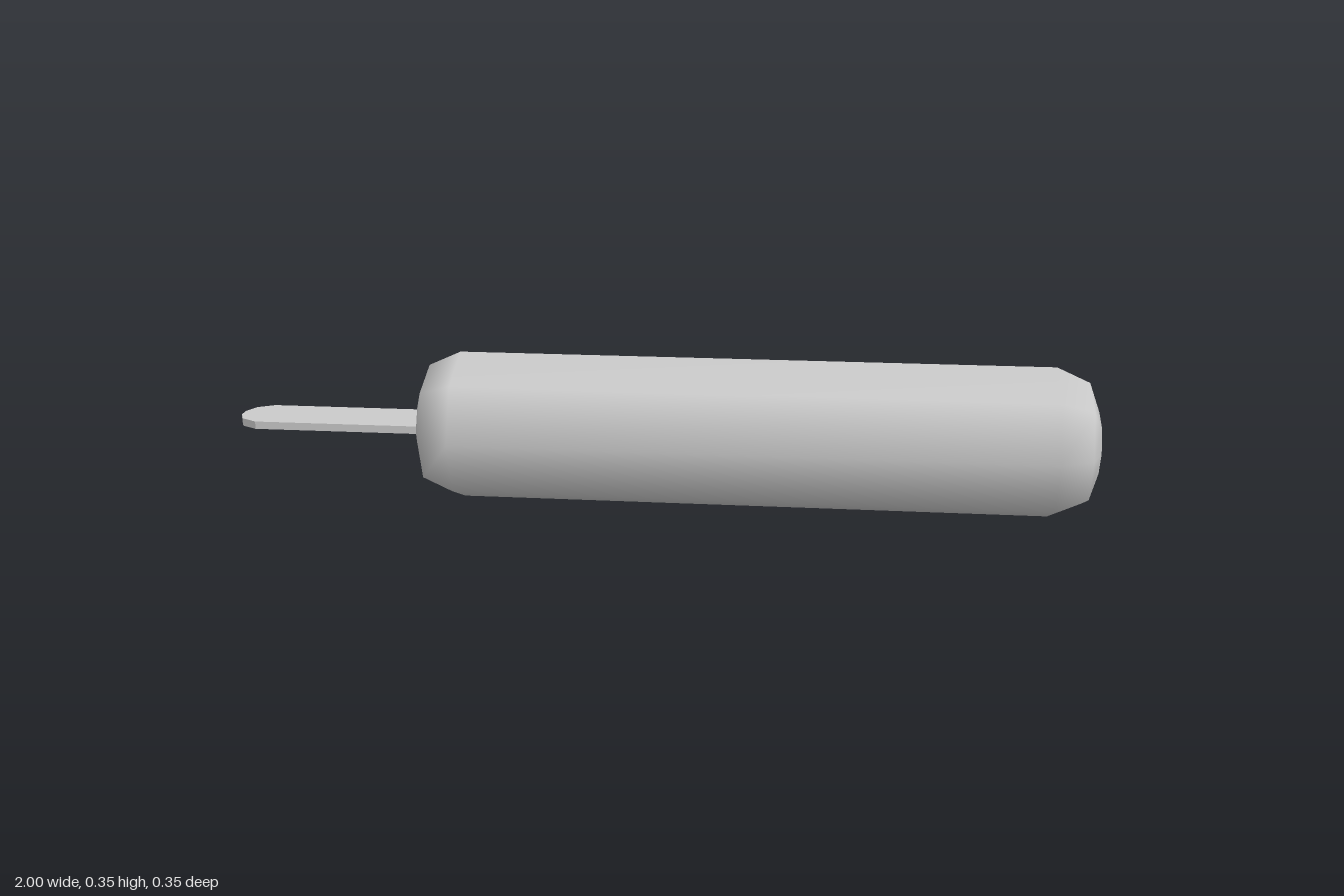
import * as THREE from 'three';

const AXIS_Y = 0.178;

export function createModel() {
  const group = new THREE.Group();
  const material = new THREE.MeshStandardMaterial({ color: 0xcccccc });

  // Eight-sided smooth body with chamfered ends, turned to lie along x
  const profile = [
    [0, -0.56], [0.075, -0.56], [0.143, -0.54], [0.177, -0.465],
    [0.177, 0.9], [0.143, 0.975], [0.075, 1], [0, 1],
  ].map(([r, x]) => new THREE.Vector2(r, x));
  const bodyGeometry = new THREE.LatheGeometry(profile, 8);
  bodyGeometry.rotateZ(-Math.PI / 2);
  const body = new THREE.Mesh(bodyGeometry, material);
  body.name = 'iceBody';
  body.position.y = AXIS_Y;
  group.add(body);

  // Thin flat stick with a rounded tip
  const thickness = 0.018;
  const half = [[-0.45, 0.073], [-0.947, 0.073], [-0.985, 0.05], [-1, 0.015]];
  const outline = [...half, ...half.map(([x, z]) => [x, -z]).reverse()];
  const stickShape = new THREE.Shape(outline.map(([x, z]) => new THREE.Vector2(x, z)));
  const stickGeometry = new THREE.ExtrudeGeometry(stickShape, { depth: thickness, bevelEnabled: false });
  stickGeometry.translate(0, 0, -thickness / 2);
  stickGeometry.rotateX(Math.PI / 2);
  const stick = new THREE.Mesh(stickGeometry, material);
  stick.name = 'stick';
  stick.position.set(0, AXIS_Y + 0.003, -0.003);
  group.add(stick);

  return group;
}
